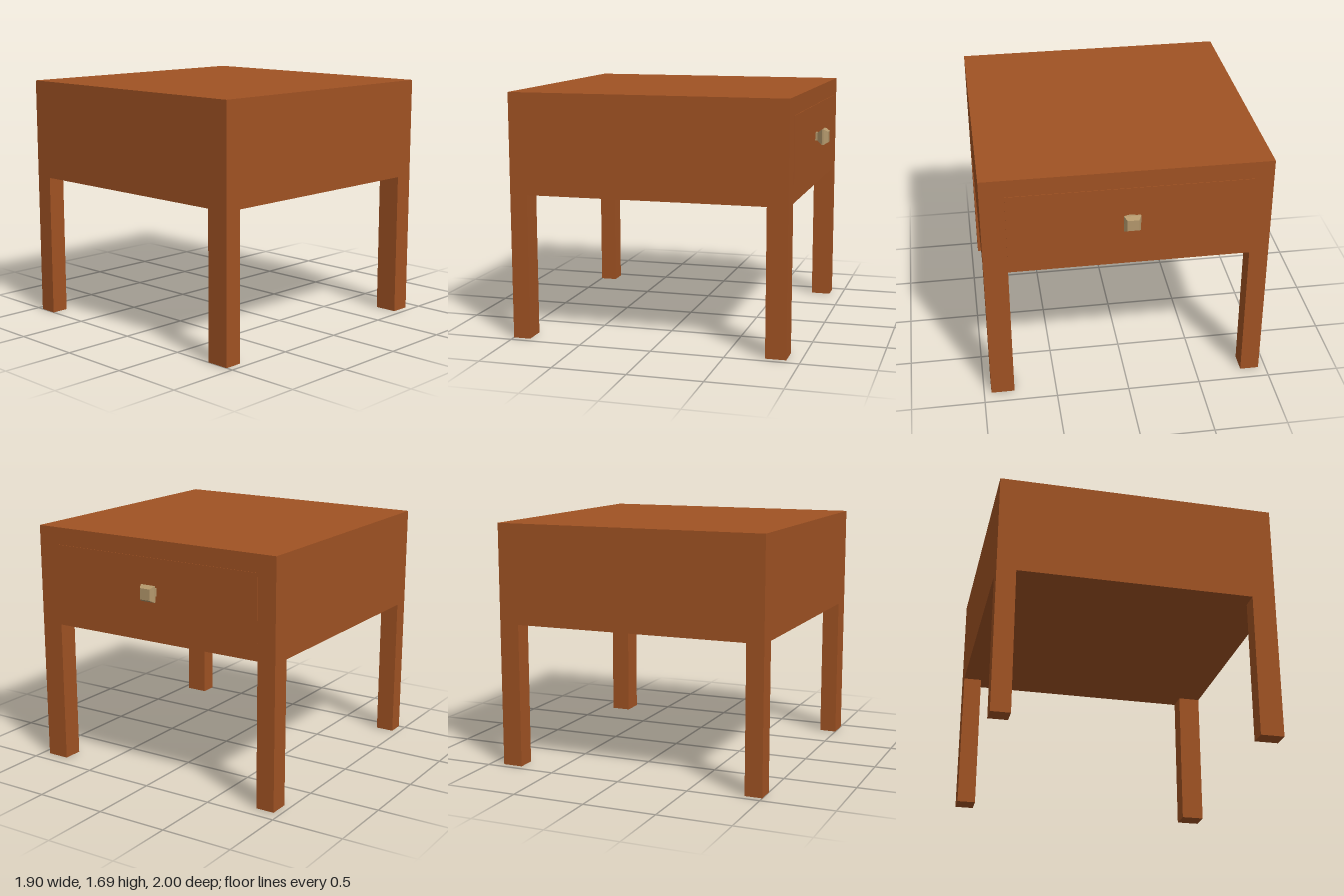
import * as THREE from 'three';

export function createModel() {
  const model = new THREE.Group();
  const wood = new THREE.MeshStandardMaterial({ color: 0xa05223 });
  wood.name = 'reddish brown wood';
  const brass = new THREE.MeshStandardMaterial({ color: 0xb4986c });
  brass.name = 'dull brass';
  brass.flatShading = true;

  // Box given by its extents along each axis
  function box(name, [x0, x1], [y0, y1], [z0, z1]) {
    const geometry = new THREE.BoxGeometry(x1 - x0, y1 - y0, z1 - z0);
    const mesh = new THREE.Mesh(geometry, wood);
    mesh.position.set((x0 + x1) / 2, (y0 + y1) / 2, (z0 + z1) / 2);
    mesh.name = name;
    model.add(mesh);
  }

  // Solid table body
  box('body', [-0.95, 0.95], [1, 1.69], [-0.905, 1]);

  // Four square legs flush with the body corners
  const sides = { right: [-0.95, -0.82], left: [0.79, 0.95] };
  const ends = { front: [0.88, 1], back: [-0.905, -0.765] };
  for (const [end, z] of Object.entries(ends)) {
    for (const [side, x] of Object.entries(sides)) {
      box(`${end} ${side} leg`, x, [0, 1], z);
    }
  }

  // Drawer face, slightly proud of the back
  box('drawerFront', [-0.82, 0.79], [1.12, 1.57], [-0.909, -0.9]);

  // Square faceted knob: half width against distance out from the drawer
  const profile = [[0.028, 0], [0.028, 0.02], [0.055, 0.055], [0.055, 0.066], [0.038, 0.095], [0, 0.095]]
    .map(([half, out]) => new THREE.Vector2(half * Math.SQRT2, out));
  const knobGeometry = new THREE.LatheGeometry(profile, 4, Math.PI / 4);
  knobGeometry.rotateX(-Math.PI / 2);
  const knob = new THREE.Mesh(knobGeometry, brass);
  knob.position.set(-0.017, 1.345, -0.905);
  knob.name = 'drawerKnob';
  model.add(knob);

  return model;
}
